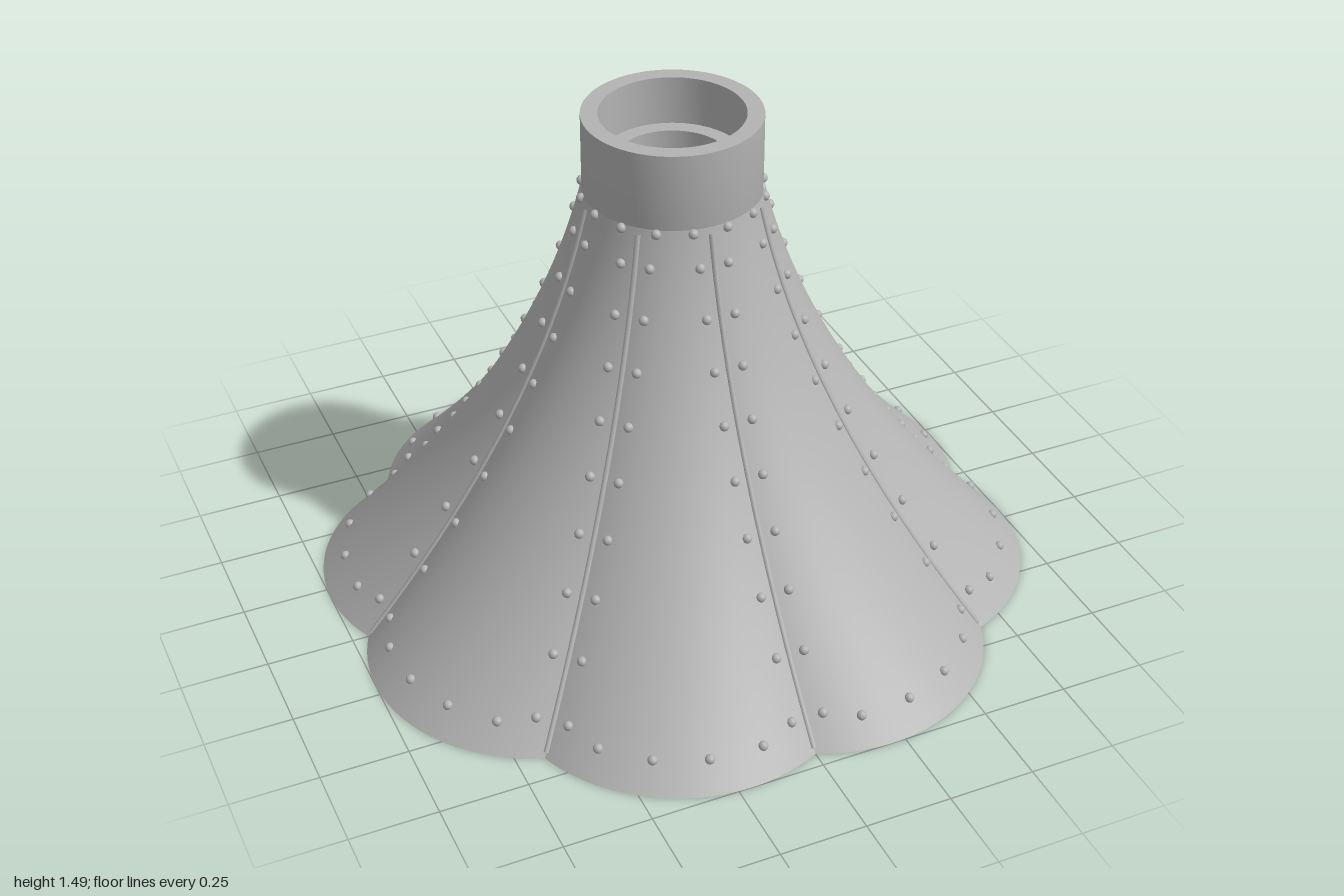
import * as THREE from 'three';
import { toCreasedNormals } from 'three/addons/utils/BufferGeometryUtils.js';

const LOBES = 8;
const STEP = (Math.PI * 2) / LOBES;
const CONE_TOP = 1.27;

// Radius of the flared skirt along a seam
const seamRadius = (y) => {
  const u = 1 - y / 1.26;
  return 0.252 + 0.288 * u + 0.413 * u * u;
};

// Circular-arc lobe outline, relative to the seam radius
const arc = (phi) => 0.55 * Math.cos(phi) + Math.sqrt(0.492 ** 2 - (0.55 * Math.sin(phi)) ** 2);
const bulge = (phi) => arc(phi) / arc(STEP / 2) - 1;

// Point on the skirt: angle is measured from +z toward +x, inset goes into the wall
function skirtPoint(angle, y, inset = 0) {
  const local = ((angle % STEP) + STEP) % STEP;
  const fade = Math.max(0, 1 - y / 1.26);
  const r = seamRadius(y) * (1 + bulge(local - STEP / 2) * fade) - inset;
  return new THREE.Vector3(r * Math.sin(angle), y, r * Math.cos(angle));
}

// Smooth grid surface from a function of (u, v)
function patch(fn, nu, nv) {
  const pos = [];
  const index = [];
  for (let j = 0; j <= nv; j++) {
    for (let i = 0; i <= nu; i++) pos.push(...fn(i / nu, j / nv).toArray());
  }
  for (let j = 0; j < nv; j++) {
    for (let i = 0; i < nu; i++) {
      const a = j * (nu + 1) + i;
      const b = a + nu + 1;
      index.push(a, a + 1, b + 1, a, b + 1, b);
    }
  }
  const geo = new THREE.BufferGeometry();
  geo.setAttribute('position', new THREE.Float32BufferAttribute(pos, 3));
  geo.setIndex(index);
  geo.computeVertexNormals();
  return geo;
}

export function createModel() {
  const model = new THREE.Group();
  model.name = 'flaredRivetedBase';
  const metal = new THREE.MeshStandardMaterial({ color: 0xb3b3b3 });
  metal.name = 'greyMetal';

  const add = (parent, geo, name) => {
    const mesh = new THREE.Mesh(geo, metal);
    mesh.name = name;
    parent.add(mesh);
    return mesh;
  };

  // One lobed panel: outside, inside and bottom rim
  const angleAt = (u) => 1e-5 + u * (STEP - 2e-5);
  const wall = (y) => 0.035 + 0.025 * (y / CONE_TOP);
  const outer = patch((u, v) => skirtPoint(angleAt(u), v * CONE_TOP), 24, 32);
  const inner = patch((u, v) => skirtPoint(angleAt(1 - u), v * CONE_TOP, wall(v * CONE_TOP)), 24, 32);
  const rim = patch((u, v) => skirtPoint(angleAt(u), 0, wall(0) * (1 - v)), 24, 1);

  // Raised strip running down each seam
  const seamPoints = [];
  for (let i = 0; i <= 16; i++) {
    const y = 0.012 + (1.24 * i) / 16;
    seamPoints.push(new THREE.Vector3(0, y, seamRadius(y)));
  }
  const seam = new THREE.TubeGeometry(new THREE.CatmullRomCurve3(seamPoints), 40, 0.008, 8);

  for (let k = 0; k < LOBES; k++) {
    const panel = new THREE.Group();
    panel.name = 'skirtPanel';
    panel.rotation.y = k * STEP;
    add(panel, outer, 'panelOutside');
    add(panel, inner, 'panelInside');
    add(panel, rim, 'panelRim');
    add(panel, seam, 'seamStrip');
    model.add(panel);
  }

  // Collar with an inner ledge
  const profile = [
    [0.155, 1.22], [0.24, 1.22], [0.247, 1.25], [0.247, 1.49],
    [0.2, 1.49], [0.2, 1.35], [0.155, 1.35], [0.155, 1.22],
  ].map(([x, y]) => new THREE.Vector2(x, y));
  add(model, toCreasedNormals(new THREE.LatheGeometry(profile, 64), 0.6), 'collar');

  // Rivets
  const rivets = new THREE.Group();
  rivets.name = 'rivets';
  model.add(rivets);
  const rivetGeo = new THREE.SphereGeometry(0.014, 12, 8);
  const rivet = (angle, y) => add(rivets, rivetGeo, 'rivet').position.copy(skirtPoint(angle, y));

  for (let k = 0; k < LOBES; k++) {
    const a = k * STEP;
    // Rows on both sides of each seam
    for (let i = 0; i < 9; i++) {
      const y = 0.085 + 0.135 * i;
      const offset = Math.asin((i === 0 ? 0.046 : 0.041) / seamRadius(y));
      rivet(a + offset, y);
      rivet(a - offset, y);
    }
    // Row above the bottom edge
    for (let i = 1; i < 5; i++) rivet(a + (STEP * i) / 5, 0.068);
    // Ring below the collar
    rivet(a + STEP * 0.25, 1.258);
    rivet(a + STEP * 0.75, 1.258);
  }
  return model;
}
